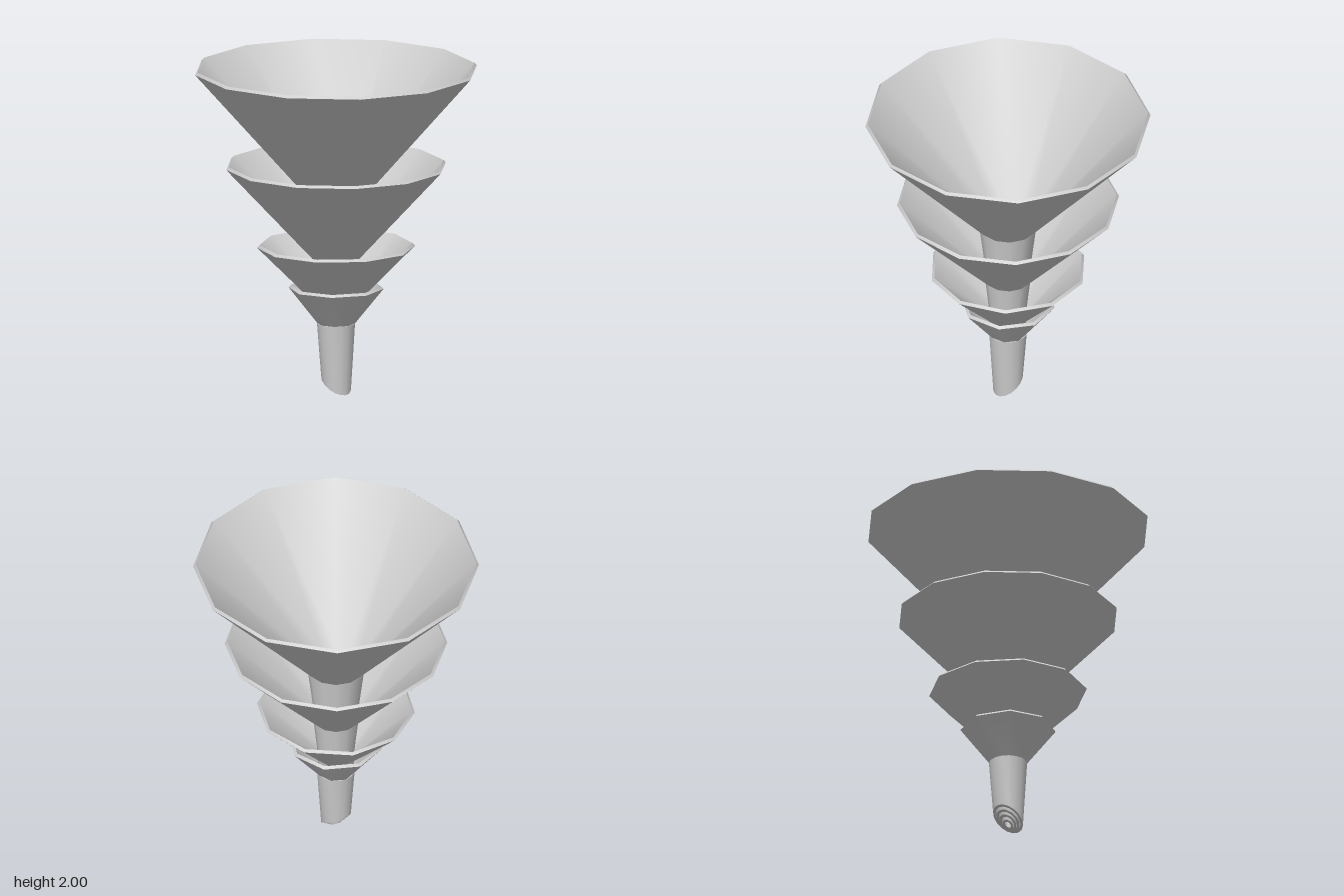
import * as THREE from 'three';
import { toCreasedNormals } from 'three/addons/utils/BufferGeometryUtils.js';

const material = new THREE.MeshStandardMaterial({ color: 0xcccccc, side: THREE.DoubleSide });
const WALL = 0.015;
const SLANT = 0.68; // slope of the cut at the spout tips

// Closed wall profile turned around y; a corner always lies on the x axis
function turn(name, profile, sides, adjust) {
  const points = profile.map(([r, y]) => new THREE.Vector2(r, y));
  points.push(points[0].clone());
  const geometry = new THREE.LatheGeometry(points, sides, Math.PI / 2);
  if (adjust) adjust(geometry.attributes.position);
  const mesh = new THREE.Mesh(toCreasedNormals(geometry, 0.65), material);
  mesh.name = name;
  return mesh;
}

function makeFunnel({ name, rim, top, neck, neckY, spoutTop, tip, sides, spoutSides }) {
  const funnel = new THREE.Group();
  funnel.name = name;

  // Flared bowl with a bevelled rim
  funnel.add(turn('bowl', [
    [neck, neckY],
    [rim, top - WALL],
    [rim - WALL, top],
    [neck - WALL, neckY + 0.01],
  ], sides));

  // Tapered spout, its lower end cut at a slant that is lowest at the front
  const tipWall = 0.014;
  funnel.add(turn('spout', [
    [tip, 0],
    [spoutTop, neckY],
    [spoutTop - WALL, neckY],
    [tip - tipWall, 0],
  ], spoutSides, (position) => {
    for (let i = 0; i < position.count; i++) {
      if (position.getY(i) < 1e-6) position.setY(i, SLANT * (tip - position.getZ(i)));
    }
  }));
  return funnel;
}

export function createModel() {
  const model = new THREE.Group();
  model.name = 'nestedFunnels';
  const funnels = [
    { name: 'largestFunnel', rim: 0.86, top: 2, neck: 0.175, neckY: 1.21, spoutTop: 0.173, tip: 0.032, sides: 12, spoutSides: 12 },
    { name: 'largeFunnel', rim: 0.67, top: 1.41, neck: 0.14, neckY: 0.825, spoutTop: 0.138, tip: 0.052, sides: 12, spoutSides: 12 },
    { name: 'mediumFunnel', rim: 0.477, top: 0.915, neck: 0.115, neckY: 0.54, spoutTop: 0.113, tip: 0.071, sides: 10, spoutSides: 12 },
    { name: 'smallFunnel', rim: 0.287, top: 0.66, neck: 0.115, neckY: 0.43, spoutTop: 0.115, tip: 0.09, sides: 8, spoutSides: 16 },
  ];
  for (const spec of funnels) model.add(makeFunnel(spec));
  return model;
}
